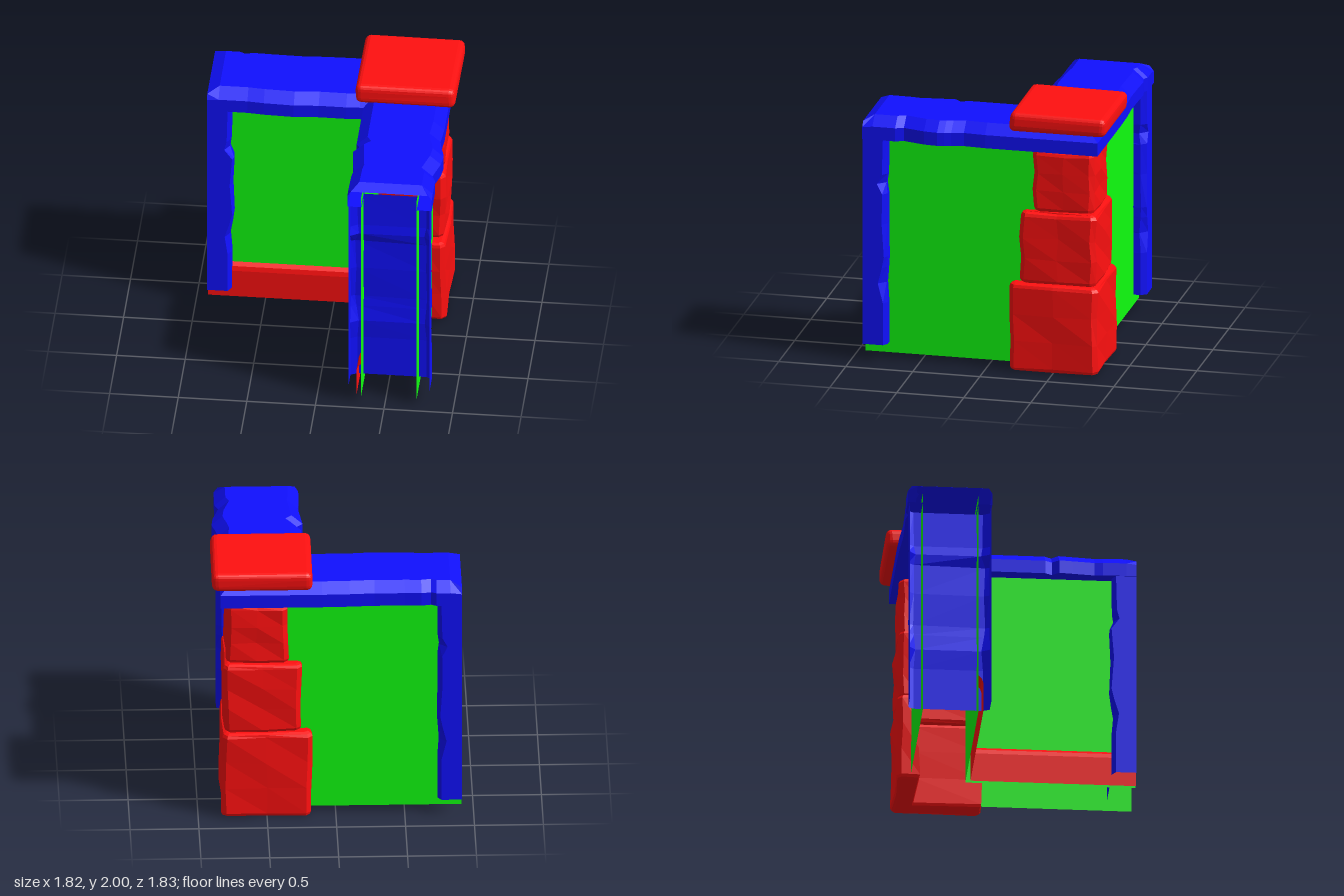
import * as THREE from 'three';
import { RoundedBoxGeometry } from 'three/addons/geometries/RoundedBoxGeometry.js';

const mat = (color) => new THREE.MeshStandardMaterial({ color, flatShading: true, side: THREE.DoubleSide });
const RED = mat(0xff1010), GREEN = mat(0x10ff10), BLUE = mat(0x1010ff);

// Skin a surface through a list of cross-sections (arrays of [x, y, z])
function loft(sections) {
  const pos = [], idx = [], n = sections[0].length;
  sections.forEach((s) => s.forEach((p) => pos.push(...p)));
  for (let i = 0; i < sections.length - 1; i++) {
    for (let j = 0; j < n - 1; j++) {
      const a = i * n + j, b = a + n;
      idx.push(a, b, a + 1, b, b + 1, a + 1);
    }
  }
  const g = new THREE.BufferGeometry();
  g.setAttribute('position', new THREE.Float32BufferAttribute(pos, 3));
  g.setIndex(idx);
  g.computeVertexNormals();
  return g;
}

// Roughen by a repeatable offset that depends only on position
function roughen(g, amount) {
  const p = g.attributes.position;
  for (let i = 0; i < p.count; i++) {
    const v = [p.getX(i), p.getY(i), p.getZ(i)];
    const h = (k) => Math.sin(v[0] * 9.1 + v[1] * 7.3 * k + v[2] * 11.7 + k * 2.1) * amount;
    p.setXYZ(i, v[0] + h(1), v[1] + h(2) * 0.7, v[2] + h(3));
  }
  g.computeVertexNormals();
  return g;
}

function add(group, name, geometry, material) {
  const m = new THREE.Mesh(geometry, material);
  m.name = name;
  group.add(m);
}

const MID = 0.53; // centre line of the wall
const END = 0.915; // open end of each arm

// One arm, running to +z; the other is its reflection across the diagonal
function buildArm(name, mirrored) {
  const arm = new THREE.Group();
  arm.name = name;
  const at = (x, y, z) => (mirrored ? [-z, y, -x] : [x, y, z]);

  // Thin wall sheets meeting the other arm at the corner
  for (const [part, x] of [['innerWall', 0.325], ['outerWall', 0.73]]) {
    add(arm, part, loft([END, -x].map((z) => [at(x, 0.05, z), at(x, 1.78, z)])), GREEN);
  }

  // Skirting with a sloping top on the inner wall
  const skirt = [[0.29, 0.05], [0.29, 0.27], [0.3, 0.305], [0.325, 0.33]];
  const skirtEnd = skirt.map(([x, y]) => at(x, y, END));
  const skirtMitre = skirt.map(([x, y]) => at(x, y, -x));
  add(arm, 'skirting', loft([skirtEnd, skirtMitre]), RED);

  // End post: open channel with chipped, chamfered edges
  const postRows = [ // height, inner chip, outer chip
    [0.13, 0, 0], [0.45, 0, 0], [0.6, 0.012, 0.025], [0.72, -0.008, 0.005], [0.8, -0.018, -0.005],
    [1.05, -0.008, 0.006], [1.28, -0.018, 0.004], [1.36, 0.014, 0.03], [1.43, 0.004, 0.005], [1.7, 0, 0],
  ];
  const postSections = postRows.map(([y, a, b]) => [
    at(0.232, y, END), at(0.232, y, 0.765 + a * 1.8), at(0.28 + a, y, 0.738 + a),
    at(0.785 - b * 0.5, y, 0.738 + b * 0.4), at(0.825, y, 0.765 + b * 1.5), at(0.825, y, END),
  ]);
  add(arm, 'endPost', loft(postSections), BLUE);

  // Top beam: chamfered, with a lip at the end and a mitre at the corner
  const profile = (inner, outer, lip) => [
    [-0.2, 1.7], [-0.305 + inner, 1.7], [-0.305 + inner, lip ? 1.79 : 1.8],
    [lip ? -0.28 : -0.225 + inner, lip ? 1.83 : 1.87], [lip ? 0.28 : 0.23 + outer, lip ? 1.83 : 1.87],
    [0.31 + outer, lip ? 1.79 : 1.8], [0.31 + outer, 1.7], [0.2, 1.7],
  ];
  const rows = mirrored
    ? [[END, 0, 0, 1], [0.83, 0, 0], [0.73, 0, 0], [0.69, 0, -0.02], [0.62, 0, -0.006], [0.5, -0.012, -0.01],
      [0.28, -0.02, -0.014], [0.1, -0.005, -0.004], [-0.1, -0.006, 0], [-0.2, 0, 0]]
    : [[END, 0, 0, 1], [0.84, 0, 0], [0.67, 0.004, 0], [0.61, 0.012, -0.025], [0.45, -0.005, 0.02],
      [0.35, -0.016, 0.03], [0.3, 0.03, 0.02], [0.25, 0, 0.005], [0.16, 0, -0.012], [0, 0, 0], [-0.2, 0, 0]];
  const sections = rows.map(([z, a, b, lip]) => profile(a, b, lip).map(([s, y]) => at(MID + s, y, z)));
  sections.push(profile(0, 0).map(([s, y]) => at(MID + s, y, -MID - s)));
  add(arm, 'topBeam', loft(sections), BLUE);
  return arm;
}

// L-shaped corner stone wrapping the outside of the corner
function cornerStone(y0, y1, out, end) {
  const inn = 0.67, c = 0.035, b = 0.03;
  const outline = [
    [out, -out + c], [out, -(out + end) / 2], [out, -end - c], [out - c, -end], [inn, -end], [inn, -inn],
    [end, -inn], [end, -out + c], [end + c, -out], [(out + end) / 2, -out], [out - c, -out],
  ];
  const shape = new THREE.Shape(outline.map(([x, z]) => new THREE.Vector2(x, z)));
  const g = new THREE.ExtrudeGeometry(shape, {
    depth: y1 - y0 - 2 * b, steps: 3, bevelEnabled: true,
    bevelThickness: b, bevelSize: b, bevelOffset: -b, bevelSegments: 2,
  });
  g.rotateX(Math.PI / 2);
  g.translate(0, y1 - b, 0);
  return roughen(g, 0.007);
}

export function createModel() {
  const model = new THREE.Group();
  model.name = 'wallCorner';
  model.add(buildArm('frontArm', false), buildArm('sideArm', true));

  // Stacked corner stones, shrinking upwards
  const stones = [[0.01, 0.675, 0.83, 0.175], [0.68, 1.22, 0.815, 0.25], [1.23, 1.69, 0.8, 0.345]];
  stones.forEach(([y0, y1, out, end], i) =>
    add(model, `cornerStone${i + 1}`, cornerStone(y0, y1, out, end), RED));

  // Flat capstone over the corner
  const cap = new RoundedBoxGeometry(0.73, 0.138, 0.73, 2, 0.045);
  cap.translate(0.53, 1.93, -0.55);
  add(model, 'capstone', roughen(cap, 0.007), RED);
  return model;
}
